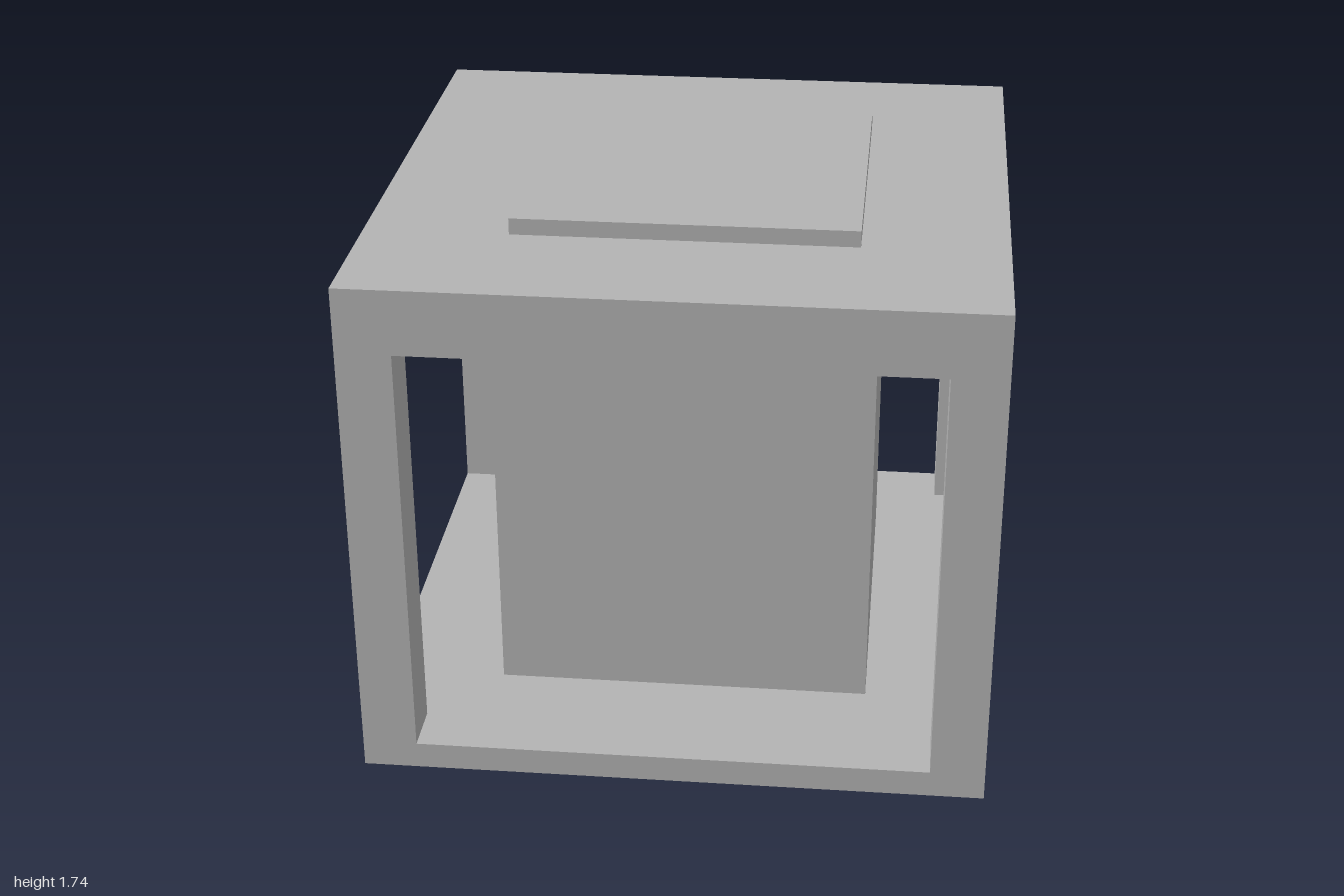
import * as THREE from 'three';

export function createModel() {
  const model = new THREE.Group();
  const grey = new THREE.MeshStandardMaterial({ color: 0xb3b3b3 });
  grey.name = 'grey';

  // Square block of a given width between two heights
  function block(name, width, bottom, top, x = 0, z = 0) {
    const mesh = new THREE.Mesh(new THREE.BoxGeometry(width, top - bottom, width), grey);
    mesh.name = name;
    mesh.position.set(x, (bottom + top) / 2, z);
    model.add(mesh);
  }

  const baseTop = 0.088, roofBottom = 1.476, roofTop = 1.687;
  const post = 0.174, offset = 1 - post / 2;

  block('base', 2, 0, baseTop);
  block('roof', 2, roofBottom, roofTop);
  block('cap', 1.086, roofTop, 1.74);

  // Corner posts
  for (const x of [-1, 1])
    for (const z of [-1, 1])
      block('cornerPost', post, baseTop, roofBottom, x * offset, z * offset);

  // Core floating clear of the base and roof
  block('core', 1.214, 0.11, 1.46);

  return model;
}
